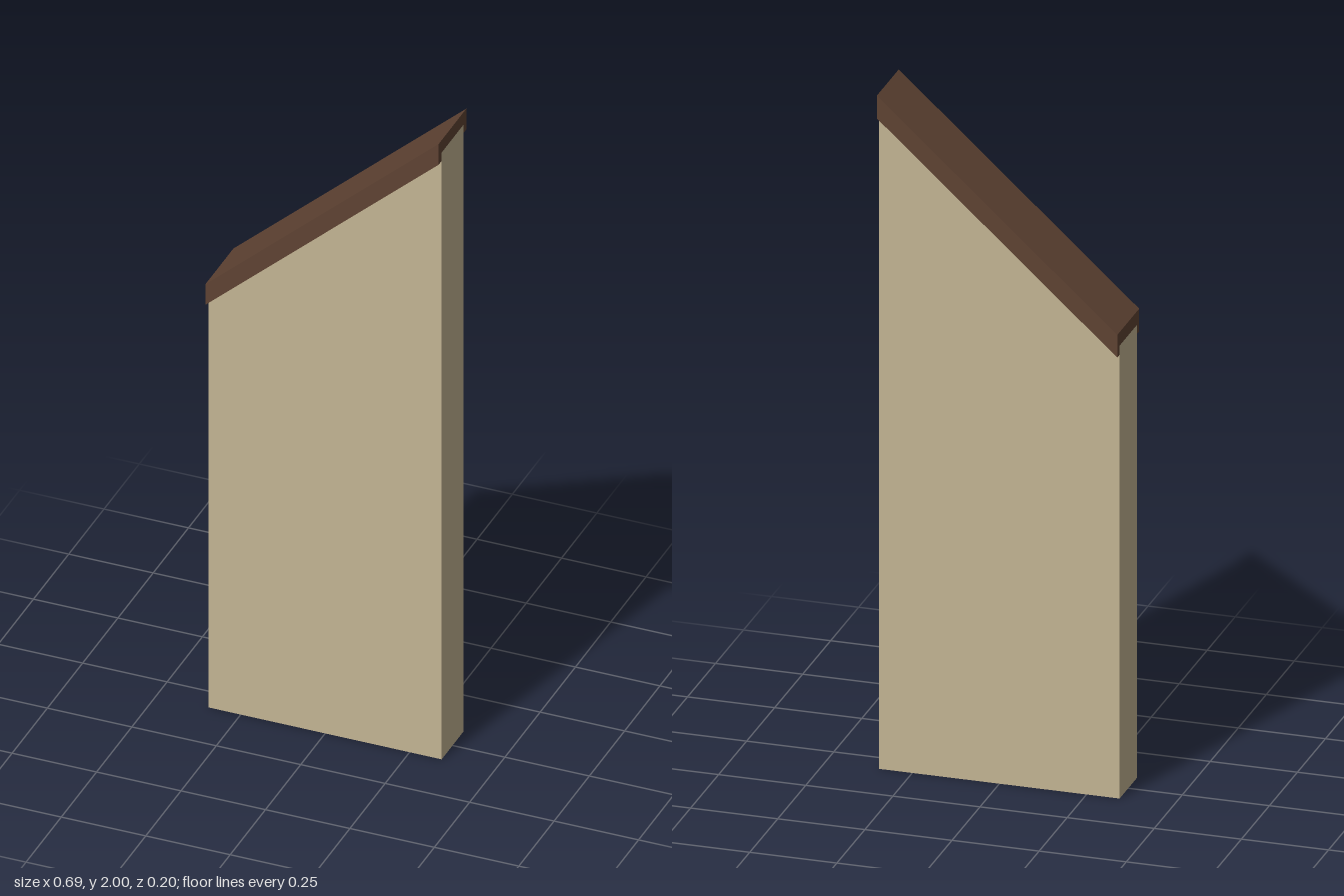
import * as THREE from 'three';

const HALF = 0.345;      // half length along x
const LOW = 1.38;        // outer roof height at the low end
const HIGH = 2.0;        // outer roof height at the high end
const CORE = 0.077;      // half thickness of the wall
const OUTER = 0.098;     // half thickness of the capping
const PLATE = 0.04;      // vertical thickness of the capping plate
const DROP = 0.067;      // vertical depth of the capping sides

// Extrudes an x-y outline between two z positions
function slab(points, z0, z1, material, name) {
  const shape = new THREE.Shape(points.map(([x, y]) => new THREE.Vector2(x, y)));
  const geometry = new THREE.ExtrudeGeometry(shape, { depth: z1 - z0, bevelEnabled: false });
  geometry.translate(0, 0, z0);
  const mesh = new THREE.Mesh(geometry, material);
  mesh.name = name;
  return mesh;
}

// Sloping strip between two depths below the roof line
const strip = (top, bottom) => [
  [-HALF, LOW - bottom], [HALF, HIGH - bottom], [HALF, HIGH - top], [-HALF, LOW - top],
];

export function createModel() {
  const wallTan = new THREE.MeshStandardMaterial({ color: 0xc4b594 });
  wallTan.name = 'wallTan';
  const capBrown = new THREE.MeshStandardMaterial({ color: 0x5f4333 });
  capBrown.name = 'capBrown';

  const model = new THREE.Group();
  model.name = 'slopedWall';

  // Wall panel with a slanted top
  const outline = [[-HALF, 0], [HALF, 0], [HALF, HIGH - PLATE], [-HALF, LOW - PLATE]];
  model.add(slab(outline, -CORE, CORE, wallTan, 'wallPanel'));

  // Channel-shaped capping: a top plate with a lip down each side
  const cap = new THREE.Group();
  cap.name = 'capping';
  cap.add(slab(strip(0, PLATE), -OUTER, OUTER, capBrown, 'capPlate'));
  cap.add(slab(strip(PLATE, DROP), CORE, OUTER, capBrown, 'frontLip'));
  cap.add(slab(strip(PLATE, DROP), -OUTER, -CORE, capBrown, 'backLip'));
  model.add(cap);

  return model;
}
